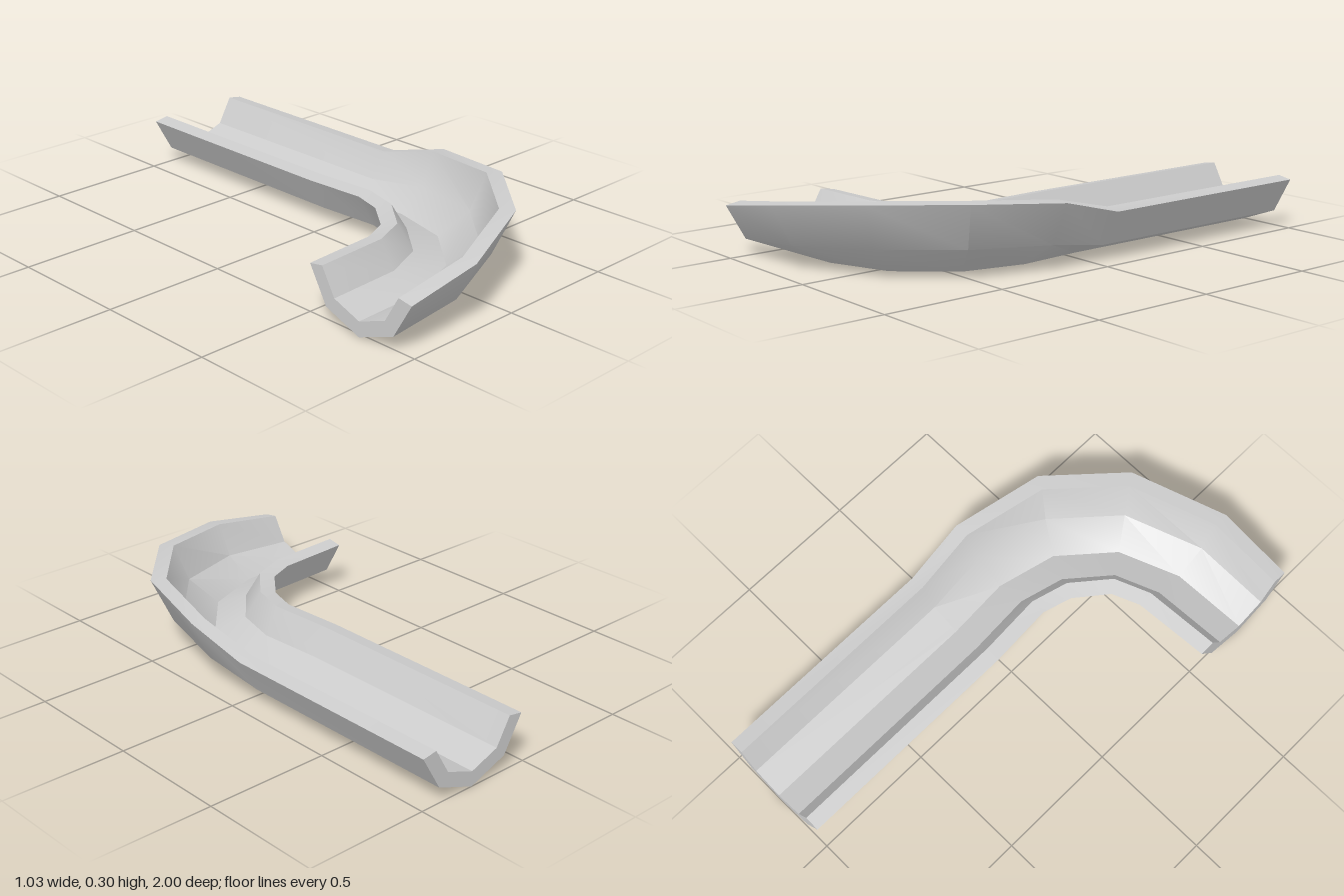
import * as THREE from 'three';
import { toCreasedNormals } from 'three/addons/utils/BufferGeometryUtils.js';

// Closed channel section: [position across the width 0..1, height, share of the bank lift]
const SECTION = [
  // underside, inner edge to outer edge
  [0, 0.2, 0], [1 / 6, 0.06, 0], [0.5, 0, 0], [5 / 6, 0.06, 0.6], [1, 0.2, 1],
  // trough, outer edge back to inner edge
  [0.875, 0.21, 0.92], [0.75, 0.105, 0.5], [0.5, 0.06, 0], [0.25, 0.105, 0], [0.125, 0.21, 0],
];

// Stations along the bend: inner rim x, z, outer rim x, z, bank lift
const STATIONS = [
  [0.02, -1, 0.5, -1, 0],
  [0.02, -0.05, 0.5, -0.05, 0],
  [0.035, 0.21, 0.515, 0.21, 0.07],
  [0, 0.33, 0.43, 0.58, 0.1],
  [-0.1, 0.455, 0.18, 0.855, 0.095],
  [-0.21, 0.5, -0.2, 1, 0.052],
  [-0.52, 0.52, -0.52, 1, 0],
];

function channelGeometry() {
  const n = SECTION.length;
  const positions = [];
  const index = [];
  const quad = (a, b, c, d) => index.push(a, b, c, a, c, d);

  for (const [ix, iz, ox, oz, lift] of STATIONS) {
    for (const [t, y, share] of SECTION) {
      positions.push(ix + (ox - ix) * t, y + lift * share, iz + (oz - iz) * t);
    }
  }

  // skin between neighbouring stations
  for (let s = 0; s < STATIONS.length - 1; s++) {
    for (let i = 0; i < n; i++) {
      const a = s * n + i;
      const b = s * n + ((i + 1) % n);
      quad(a, b, b + n, a + n);
    }
  }

  // end faces, pairing underside and trough points
  const last = (STATIONS.length - 1) * n;
  for (let i = 0; i < n / 2 - 1; i++) {
    quad(n - 1 - i, n - 2 - i, i + 1, i);
    quad(last + i, last + i + 1, last + n - 2 - i, last + n - 1 - i);
  }

  const geometry = new THREE.BufferGeometry();
  geometry.setAttribute('position', new THREE.Float32BufferAttribute(positions, 3));
  geometry.setIndex(index);
  return toCreasedNormals(geometry, 0.62);
}

export function createModel() {
  const group = new THREE.Group();
  group.name = 'bankedChannelBend';
  const channel = new THREE.Mesh(
    channelGeometry(),
    new THREE.MeshStandardMaterial({ color: 0xcccccc })
  );
  channel.name = 'channel';
  group.add(channel);
  return group;
}
